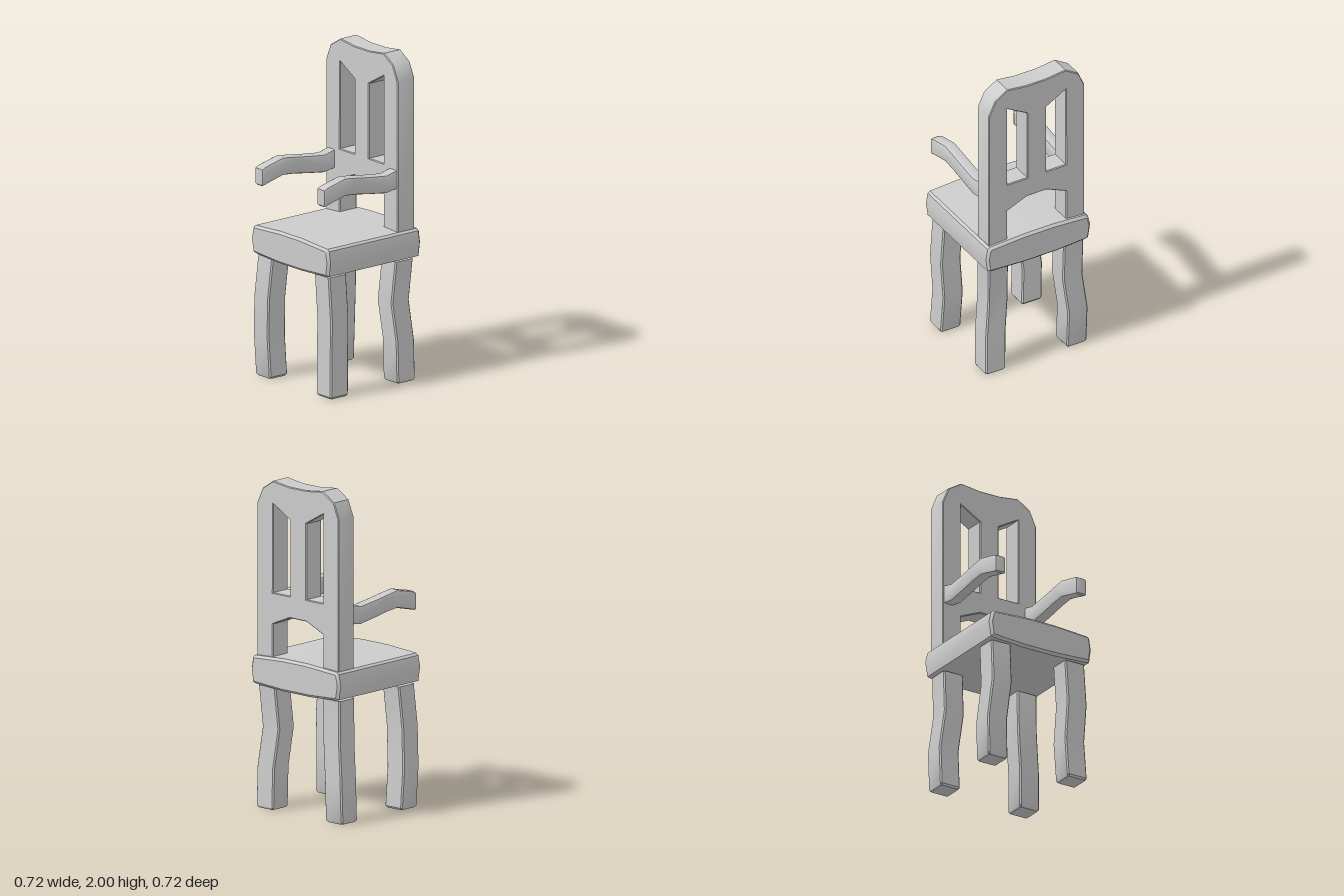
import * as THREE from 'three';
import { toCreasedNormals } from 'three/addons/utils/BufferGeometryUtils.js';

const material = new THREE.MeshStandardMaterial({ color: 0xcccccc });

function addMesh(parent, name, geometry, crease = 0.6) {
  const mesh = new THREE.Mesh(toCreasedNormals(geometry, crease), material);
  mesh.name = name;
  parent.add(mesh);
  return mesh;
}

const points = (list) => list.map(([x, y]) => new THREE.Vector2(x, y));

// Bevelled slab whose outline and depth already include the bevel, centred in z
function slab(outline, holes, depth, bevel, segments = 1) {
  const shape = new THREE.Shape(points(outline));
  holes.forEach((h) => shape.holes.push(new THREE.Path(points(h))));
  const geometry = new THREE.ExtrudeGeometry(shape, {
    depth: depth - 2 * bevel,
    bevelSize: bevel,
    bevelThickness: bevel,
    bevelOffset: -bevel,
    bevelSegments: segments,
  });
  return geometry.translate(0, 0, -depth / 2 + bevel);
}

// Square leg with chamfered corners, lofted through rings [y, centreX, centreZ, halfWidth]
function legGeometry(rings) {
  const c = 0.008;
  const pos = [];
  const loops = rings.map(([y, cx, cz, h]) =>
    [[h, -h + c], [h, h - c], [h - c, h], [-h + c, h], [-h, h - c], [-h, -h + c], [-h + c, -h], [h - c, -h]]
      .map(([x, z]) => [cx + x, y, cz + z]));
  const n = 8;
  for (let r = 0; r < loops.length - 1; r++) {
    for (let i = 0; i < n; i++) {
      const j = (i + 1) % n;
      const [a, b, d, e] = [loops[r][i], loops[r][j], loops[r + 1][i], loops[r + 1][j]];
      pos.push(...a, ...d, ...b, ...b, ...d, ...e);
    }
  }
  // End caps
  const first = loops[0];
  const last = loops[loops.length - 1];
  for (let i = 1; i < n - 1; i++) {
    pos.push(...first[0], ...first[i], ...first[i + 1]);
    pos.push(...last[0], ...last[i + 1], ...last[i]);
  }
  const geometry = new THREE.BufferGeometry();
  geometry.setAttribute('position', new THREE.Float32BufferAttribute(pos, 3));
  return geometry;
}

export function createModel() {
  const chair = new THREE.Group();
  chair.name = 'chair';

  // Seat: cushion-like cross-section with a crowned top and bulging sides
  const seat = [
    [-0.345, 0.76], [-0.32, 0.755], [-0.12, 0.743], [0.1, 0.743], [0.32, 0.755], [0.345, 0.76],
    [0.357, 0.845], [0.345, 0.915], [0.33, 0.927], [0.1, 0.941], [-0.1, 0.941], [-0.33, 0.927],
    [-0.345, 0.915], [-0.36, 0.85],
  ];
  addMesh(chair, 'seat', slab(seat, [], 0.716, 0.015));

  // Backrest: two posts, scalloped top rail, central slat and arched lower rail
  const back = [
    [-0.33, 0.92], [-0.203, 0.92], [-0.203, 1.132], [-0.069, 1.19], [0.063, 1.19], [0.2, 1.132],
    [0.2, 0.92], [0.328, 0.92], [0.328, 1.85], [0.284, 1.945], [0.2, 2], [0.07, 1.984],
    [-0.07, 1.984], [-0.2, 2], [-0.29, 1.945], [-0.33, 1.85],
  ];
  const backHoles = [
    [[-0.203, 1.323], [-0.203, 1.862], [-0.069, 1.783], [-0.069, 1.323]],
    [[0.063, 1.323], [0.063, 1.783], [0.2, 1.862], [0.2, 1.323]],
  ];
  addMesh(chair, 'backrest', slab(back, backHoles, 0.132, 0.005)).position.z = -0.264;

  // Armrests: wavy side profile in (z, y), turned so its length runs along z
  const arm = [
    [-0.215, 1.193], [-0.125, 1.178], [0, 1.196], [0.1, 1.213], [0.193, 1.222], [0.35, 1.183],
    [0.358, 1.19], [0.358, 1.287], [0.335, 1.3], [0.193, 1.333], [0.1, 1.32], [0, 1.305],
    [-0.125, 1.29], [-0.215, 1.311],
  ];
  for (const [name, x] of [['leftArmrest', 0.283], ['rightArmrest', -0.286]]) {
    const geometry = slab(arm, [], 0.074, 0.015, 2).rotateY(-Math.PI / 2);
    addMesh(chair, name, geometry, 0.7).position.x = x;
  }

  // Legs: each wobbles differently; [x, z] of the centre from foot to top
  const legs = {
    frontLeftLeg: [[0.275, 0.26], [0.264, 0.25], [0.276, 0.258], [0.257, 0.26]],
    frontRightLeg: [[-0.283, 0.26], [-0.292, 0.269], [-0.27, 0.285], [-0.262, 0.26]],
    backLeftLeg: [[0.275, -0.255], [0.272, -0.251], [0.246, -0.233], [0.257, -0.255]],
    backRightLeg: [[-0.283, -0.255], [-0.285, -0.265], [-0.258, -0.25], [-0.262, -0.255]],
  };
  for (const [name, [foot, low, high, top]] of Object.entries(legs)) {
    addMesh(chair, name, legGeometry([
      [0, ...foot, 0.06],
      [0.012, ...foot, 0.068],
      [0.25, ...low, 0.068],
      [0.49, ...high, 0.068],
      [0.745, ...top, 0.068],
    ]));
  }

  return chair;
}
